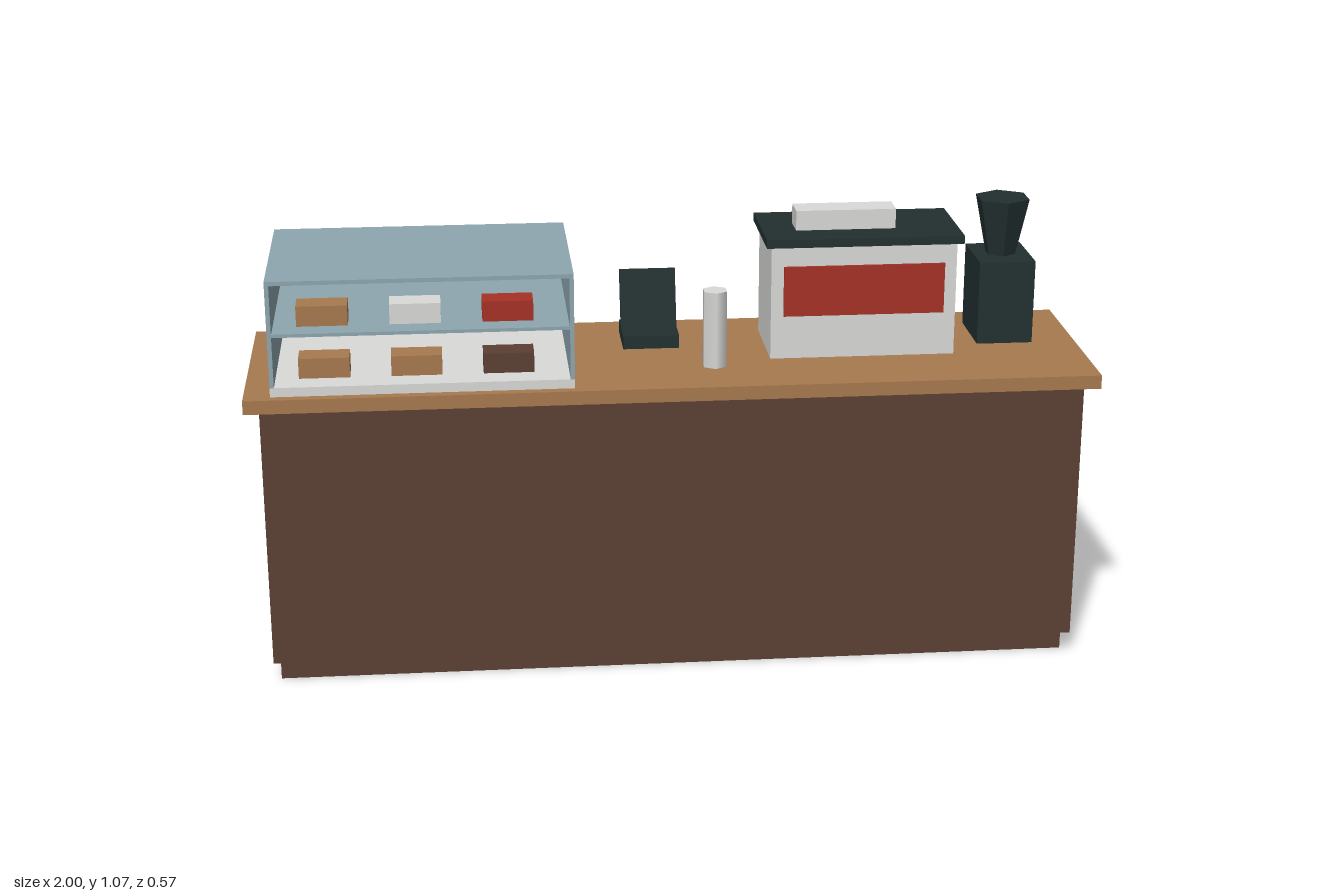
import * as THREE from 'three';

const mat = (name, color, extra = {}) => {
  const m = new THREE.MeshStandardMaterial({ color, ...extra });
  m.name = name;
  return m;
};

export function createModel() {
  const darkWood = mat('dark wood', 0x5c4033);
  const lightWood = mat('light wood', 0xa87a50);
  const steel = mat('pale steel', 0xdadad8);
  const glass = mat('blue glass', 0x8fa7b0);
  const black = mat('charcoal', 0x233030);
  const blackFaceted = black; // faceting comes from non-indexed geometry
  const red = mat('red', 0xa63226);

  const model = new THREE.Group();
  model.name = 'coffeeCounter';
  const group = (name) => {
    const g = new THREE.Group();
    g.name = name;
    model.add(g);
    return g;
  };

  // Box given by its extents along each axis
  const box = (parent, name, material, [x0, x1], [y0, y1], [z0, z1]) => {
    const mesh = new THREE.Mesh(new THREE.BoxGeometry(x1 - x0, y1 - y0, z1 - z0), material);
    mesh.position.set((x0 + x1) / 2, (y0 + y1) / 2, (z0 + z1) / 2);
    mesh.name = name;
    parent.add(mesh);
    return mesh;
  };

  // Upright cylinder or cone standing on y0
  const tube = (parent, name, material, rTop, rBottom, [y0, y1], x, z, sides, faceted = false) => {
    let geo = new THREE.CylinderGeometry(rTop, rBottom, y1 - y0, sides);
    if (faceted) {
      geo = geo.toNonIndexed();
      geo.computeVertexNormals();
    }
    const mesh = new THREE.Mesh(geo, material);
    mesh.position.set(x, (y0 + y1) / 2, z);
    mesh.name = name;
    parent.add(mesh);
    return mesh;
  };

  // Counter
  const counter = group('counter');
  box(counter, 'plinth', darkWood, [-0.95, 0.95], [0, 0.055], [-0.22, 0.23]);
  box(counter, 'cabinet', darkWood, [-0.965, 0.965], [0.055, 0.692], [-0.22, 0.263]);
  box(counter, 'worktop', lightWood, [-1, 1], [0.692, 0.725], [-0.24, 0.285]);

  // Display case, open at front and back
  const display = group('displayCase');
  const caseZ = [-0.187, 0.262];
  box(display, 'caseBase', steel, [-0.938, -0.238], [0.725, 0.747], caseZ);
  box(display, 'caseRoof', glass, [-0.938, -0.238], [0.99, 1.0], caseZ);
  box(display, 'caseSideRight', glass, [-0.938, -0.928], [0.747, 0.99], caseZ);
  box(display, 'caseSideLeft', glass, [-0.248, -0.238], [0.747, 0.99], caseZ);
  box(display, 'caseShelf', glass, [-0.928, -0.248], [0.865, 0.873], [-0.18, 0.255]);

  // Two rows of pastries
  const rows = [
    { y: 0.747, colours: [lightWood, lightWood, darkWood] },
    { y: 0.873, colours: [lightWood, steel, red] },
  ];
  rows.forEach(({ y, colours }) => colours.forEach((colour, i) => {
    const x = -0.815 + i * 0.2135;
    box(display, 'pastry', colour, [x - 0.059, x + 0.059], [y, y + 0.048], [0.135, 0.2]);
  }));

  // Till with a leaning screen
  const till = group('till');
  box(till, 'tillBase', black, [-0.105, 0.031], [0.725, 0.757], [-0.156, -0.016]);
  const screen = box(till, 'tillScreen', black, [-0.105, 0.031], [0.745, 0.895], [-0.125, -0.107]);
  screen.position.z = -0.116;
  screen.rotation.x = -0.32;

  // Stack of cups
  tube(group('cupStack'), 'cups', steel, 0.031, 0.031, [0.725, 0.911], 0.102, 0.123, 6);

  // Coffee machine, working side at the back
  const machine = group('coffeeMachine');
  box(machine, 'machineBody', steel, [0.24, 0.685], [0.725, 1.002], [-0.139, 0.088]);
  box(machine, 'machineLid', black, [0.227, 0.699], [1.002, 1.022], [-0.153, 0.102]);
  box(machine, 'cupWarmer', steel, [0.307, 0.547], [1.022, 1.07], [-0.05, 0.02]);
  box(machine, 'frontPanel', red, [0.27, 0.656], [0.831, 0.953], [0.088, 0.094]);
  box(machine, 'dripTray', glass, [0.275, 0.652], [0.747, 0.767], [-0.222, -0.139]);
  for (const x of [0.34, 0.582]) {
    box(machine, 'brewHead', black, [x - 0.032, x + 0.032], [0.885, 0.94], [-0.18, -0.139]);
    box(machine, 'brewHandle', black, [x - 0.011, x + 0.011], [0.892, 0.911], [-0.289, -0.18]);
    tube(machine, 'cup', steel, 0.022, 0.022, [0.767, 0.828], x, -0.18, 8);
  }

  // Grinder with a six-sided hopper
  const grinder = group('grinder');
  box(grinder, 'grinderBody', black, [0.757, 0.893], [0.725, 0.93], [-0.153, 0.02]);
  tube(grinder, 'hopper', blackFaceted, 0.068, 0.038, [0.93, 1.07], 0.825, -0.068, 6, true);

  return model;
}
